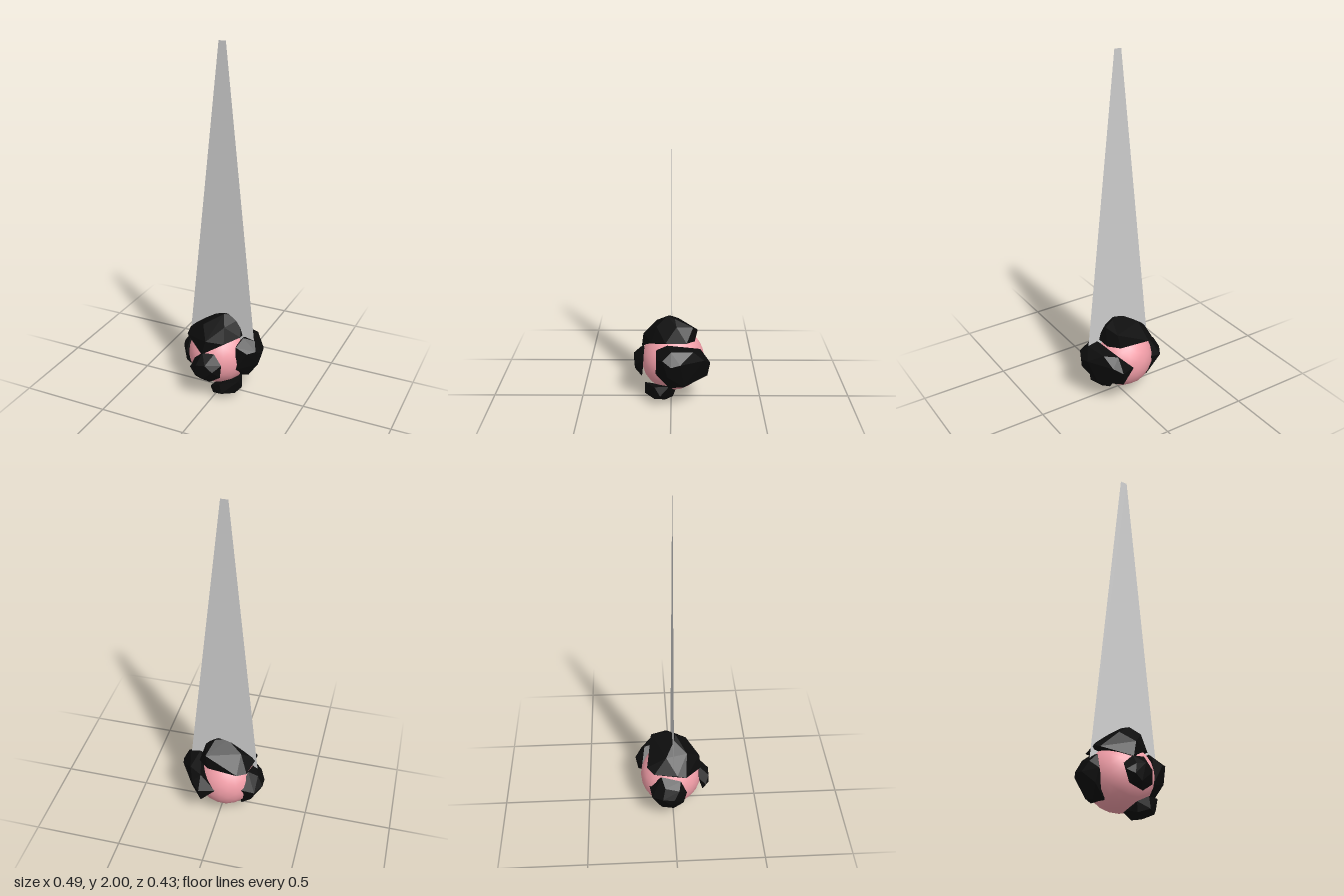
import * as THREE from 'three';
import { ConvexGeometry } from 'three/addons/geometries/ConvexGeometry.js';

// Corners of each crust rock: outer crown first, then the rim sunk into the core
const ROCKS = {
  topRock: [
    [0.02, 0.49, 0.02], [-0.02, 0.48, 0.01], [0.05, 0.485, -0.02], [0.1, 0.455, -0.03], [0.08, 0.445, -0.12],
    [-0.11, 0.43, -0.04], [-0.08, 0.43, 0.08], [0.05, 0.44, 0.08],
    [-0.19, 0.36, 0.02], [-0.185, 0.34, 0.07], [-0.16, 0.35, -0.11], [-0.11, 0.36, -0.15], [0.065, 0.36, -0.13],
    [0.125, 0.37, -0.085], [0.125, 0.37, 0.03], [0.06, 0.35, 0.11], [-0.03, 0.37, 0.155], [-0.05, 0.29, 0.165],
  ],
  leftRock: [
    [0.245, 0.28, 0], [0.235, 0.29, -0.05], [0.23, 0.22, 0.02], [0.225, 0.31, 0.045], [0.2, 0.35, 0],
    [0.14, 0.365, 0.02], [0.185, 0.3, 0.075], [0.17, 0.13, 0.01], [0.18, 0.14, -0.07], [0.17, 0.34, -0.12],
    [0.145, 0.28, -0.18], [0.1, 0.25, -0.215], [0.09, 0.17, -0.2],
    [0.12, 0.33, 0.08], [0.12, 0.19, 0.085], [0.12, 0.11, 0], [0.1, 0.33, -0.16], [0.01, 0.24, -0.18], [0.08, 0.12, -0.11],
  ],
  rightRock: [
    [-0.245, 0.22, 0], [-0.245, 0.23, -0.065], [-0.238, 0.18, -0.02], [-0.215, 0.29, -0.05], [-0.21, 0.22, -0.125],
    [-0.22, 0.27, 0.03], [-0.18, 0.095, 0], [-0.18, 0.11, -0.07], [-0.2, 0.16, 0.055],
    [-0.19, 0.23, 0.075], [-0.18, 0.31, 0.04], [-0.13, 0.09, 0.03], [-0.13, 0.1, -0.1], [-0.13, 0.24, -0.14],
    [-0.16, 0.33, -0.07],
  ],
  frontRock: [
    [-0.065, 0.24, 0.21], [-0.01, 0.25, 0.21], [0.03, 0.21, 0.2], [-0.03, 0.16, 0.205], [-0.07, 0.19, 0.21],
    [-0.11, 0.21, 0.19], [-0.085, 0.15, 0.175], [0, 0.125, 0.165], [0.06, 0.165, 0.16], [0.065, 0.24, 0.155],
    [0.02, 0.3, 0.15], [-0.05, 0.295, 0.155], [-0.1, 0.25, 0.15],
  ],
  bottomRock: [
    [0.01, 0.005, 0.05], [0.03, 0.005, 0.08], [0.09, 0.025, 0.03], [0.12, 0.04, 0.09], [0.15, 0.07, 0.06],
    [-0.03, 0.04, 0.04], [-0.03, 0.04, 0.09], [0, 0.03, 0.12], [0.06, 0.05, 0.145], [0.06, 0.03, -0.01],
    [-0.01, 0.08, 0.13], [0.05, 0.11, 0.145], [0.14, 0.12, 0.09], [0.13, 0.12, 0.01], [0.05, 0.08, -0.03],
  ],
};

export function createModel() {
  const model = new THREE.Group();
  const add = (name, geometry, material) => {
    const mesh = new THREE.Mesh(geometry, material);
    mesh.name = name;
    model.add(mesh);
    return mesh;
  };

  // Glowing round core
  const pink = new THREE.MeshStandardMaterial({ color: 0xf29ea8 });
  add('core', new THREE.IcosahedronGeometry(0.176, 3), pink).position.set(-0.02, 0.225, -0.01);

  // Dark chunks of crust stuck on the core
  const black = new THREE.MeshStandardMaterial({ color: 0x0c0c0c });
  for (const [name, corners] of Object.entries(ROCKS)) {
    add(name, new ConvexGeometry(corners.map((p) => new THREE.Vector3(...p))), black);
  }

  // Flat trail tapering upwards
  const trail = new THREE.Shape([
    new THREE.Vector2(-0.205, 0.26),
    new THREE.Vector2(0.205, 0.26),
    new THREE.Vector2(0.02, 2),
    new THREE.Vector2(-0.02, 2),
  ]);
  const grey = new THREE.MeshStandardMaterial({ color: 0xcccccc, side: THREE.DoubleSide });
  add('trail', new THREE.ShapeGeometry(trail), grey);

  return model;
}
